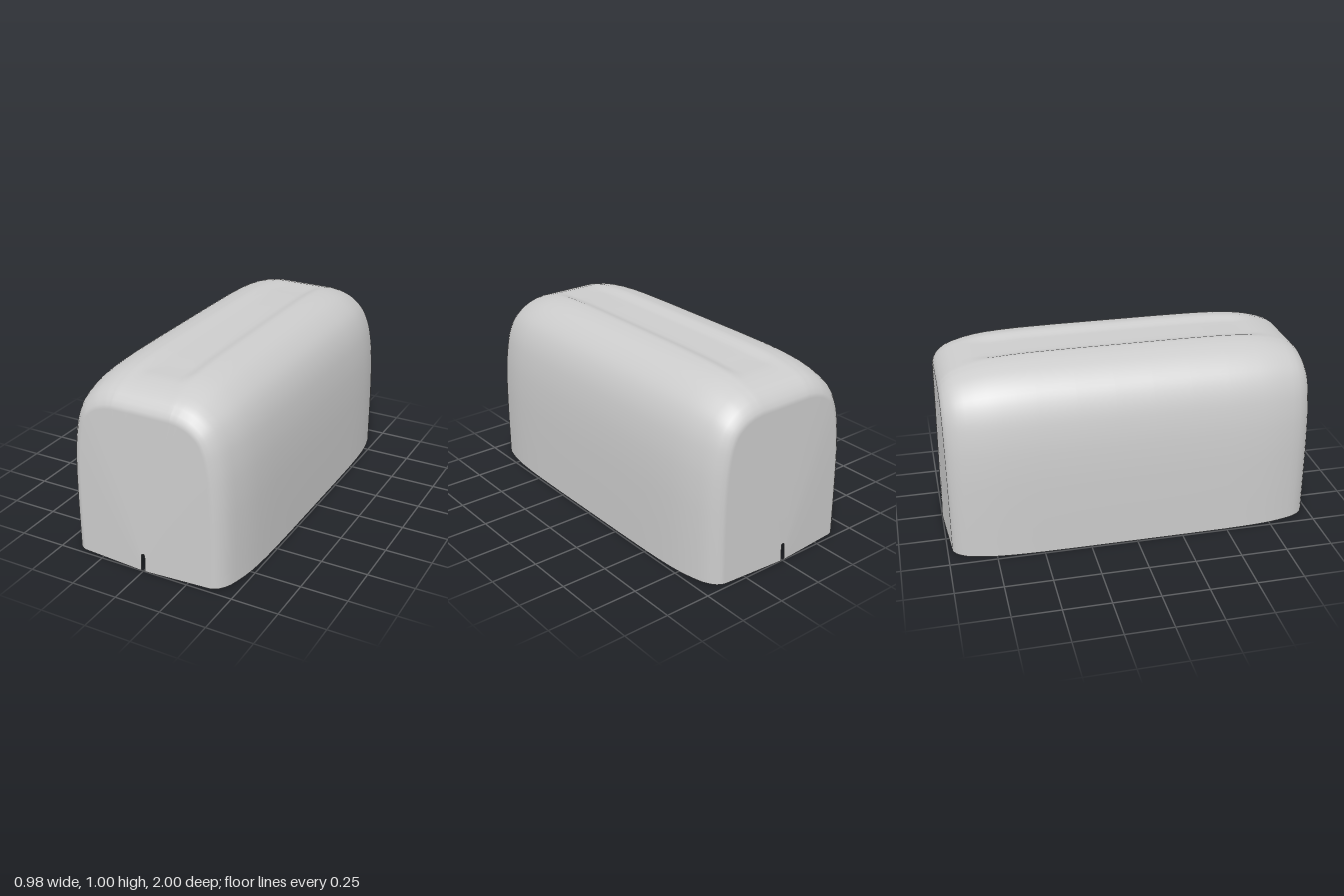
import * as THREE from 'three';

// Half cross-section of the cover: side wall, rounded shoulder, then the flat top
function halfProfile() {
  const curve = new THREE.CatmullRomCurve3([
    [0.49, 0], [0.49, 0.3], [0.485, 0.5], [0.47, 0.66], [0.44, 0.79],
    [0.39, 0.885], [0.31, 0.955], [0.23, 0.988], [0.16, 1],
  ].map(([x, y]) => new THREE.Vector3(x, y, 0)));
  const pts = [];
  const n = 32;
  for (let i = 0; i <= n; i++) {
    const p = curve.getPoint(i / n);
    const t = curve.getTangent(i / n);
    // outward normal, forced square to the floor and to the flat top
    const nx = i === 0 ? 1 : i === n ? 0 : Math.max(t.y, 0);
    const ny = i === 0 ? 0 : i === n ? 1 : Math.max(-t.x, 0);
    pts.push({ x: p.x, y: p.y, nx, ny });
  }
  for (const x of [0.14, 0.12, 0.1, 0.08, 0.04, 0]) pts.push({ x, y: 1, nx: 0, ny: 1 });
  return pts;
}

// How far the section has shrunk at each distance from the middle
const STATIONS = [
  [0.975, 1], [0.968, 0.86], [0.955, 0.7], [0.93, 0.53], [0.9, 0.4], [0.86, 0.3],
  [0.8, 0.19], [0.74, 0.115], [0.68, 0.07], [0.6, 0.035], [0.5, 0.012], [0.3, 0], [0.1, 0],
];

export function createModel() {
  const group = new THREE.Group();
  const grey = new THREE.MeshStandardMaterial({ color: 0xcccccc });
  grey.name = 'lightGrey';

  const half = halfProfile();
  const mirrored = half.slice(0, -1).reverse().map((p) => ({ ...p, x: -p.x, nx: -p.nx }));
  const profile = [...half, ...mirrored];
  const cols = profile.length;
  const stations = [...STATIONS, ...STATIONS.slice().reverse().map(([z, t]) => [-z, t])];

  // One cross-section, inset by t, with the shallow hollow pressed into the top
  const ring = (z, t) => profile.map((p) => {
    const across = 1 - THREE.MathUtils.smoothstep(Math.abs(p.x), 0.085, 0.16);
    const along = 1 - THREE.MathUtils.smoothstep(Math.abs(z), 0.66, 0.81);
    const dip = p.y > 0.99 ? 0.018 * across * along : 0;
    return [p.x - p.nx * 0.12 * t, p.y - p.ny * 0.15 * t - dip, z];
  });

  // Outline of the small round-topped slot at the foot of each end
  const slot = (side) => profile.map((p, i) => {
    const u = i / (cols - 1);
    let x, y;
    if (u < 0.35 || u > 0.65) {
      x = u < 0.5 ? 0.01 : -0.01;
      y = 0.088 * Math.min(u, 1 - u) / 0.35;
    } else {
      const a = Math.PI * (u - 0.35) / 0.3;
      x = 0.01 * Math.cos(a);
      y = 0.088 + 0.01 * Math.sin(a);
    }
    return [x, y, side * (1 - 0.025 * y / 0.85)];
  });

  // Cover: slot edge, bulged end, long body, bulged end, slot edge
  const rows = [slot(1), ...stations.map(([z, t]) => ring(z, t)), slot(-1)];
  const index = [];
  for (let r = 0; r < rows.length - 1; r++) {
    for (let c = 0; c < cols - 1; c++) {
      const a = r * cols + c;
      const b = a + cols;
      index.push(a, b, a + 1, b, b + 1, a + 1);
    }
  }
  const coverGeo = new THREE.BufferGeometry();
  coverGeo.setAttribute('position', new THREE.Float32BufferAttribute(rows.flat(2), 3));
  coverGeo.setIndex(index);
  coverGeo.computeVertexNormals();
  const cover = new THREE.Mesh(coverGeo, grey);
  cover.name = 'cover';
  group.add(cover);

  // Flat underside following the foot of the cover
  const right = stations.map(([z, t]) => new THREE.Vector2(0.49 - 0.12 * t, z));
  const left = right.map((p) => new THREE.Vector2(-p.x, p.y)).reverse();
  const outline = [new THREE.Vector2(0, 1), ...right, new THREE.Vector2(0, -1), ...left];
  const base = new THREE.Mesh(new THREE.ShapeGeometry(new THREE.Shape(outline)).rotateX(Math.PI / 2), grey);
  base.name = 'underside';
  group.add(base);

  return group;
}
